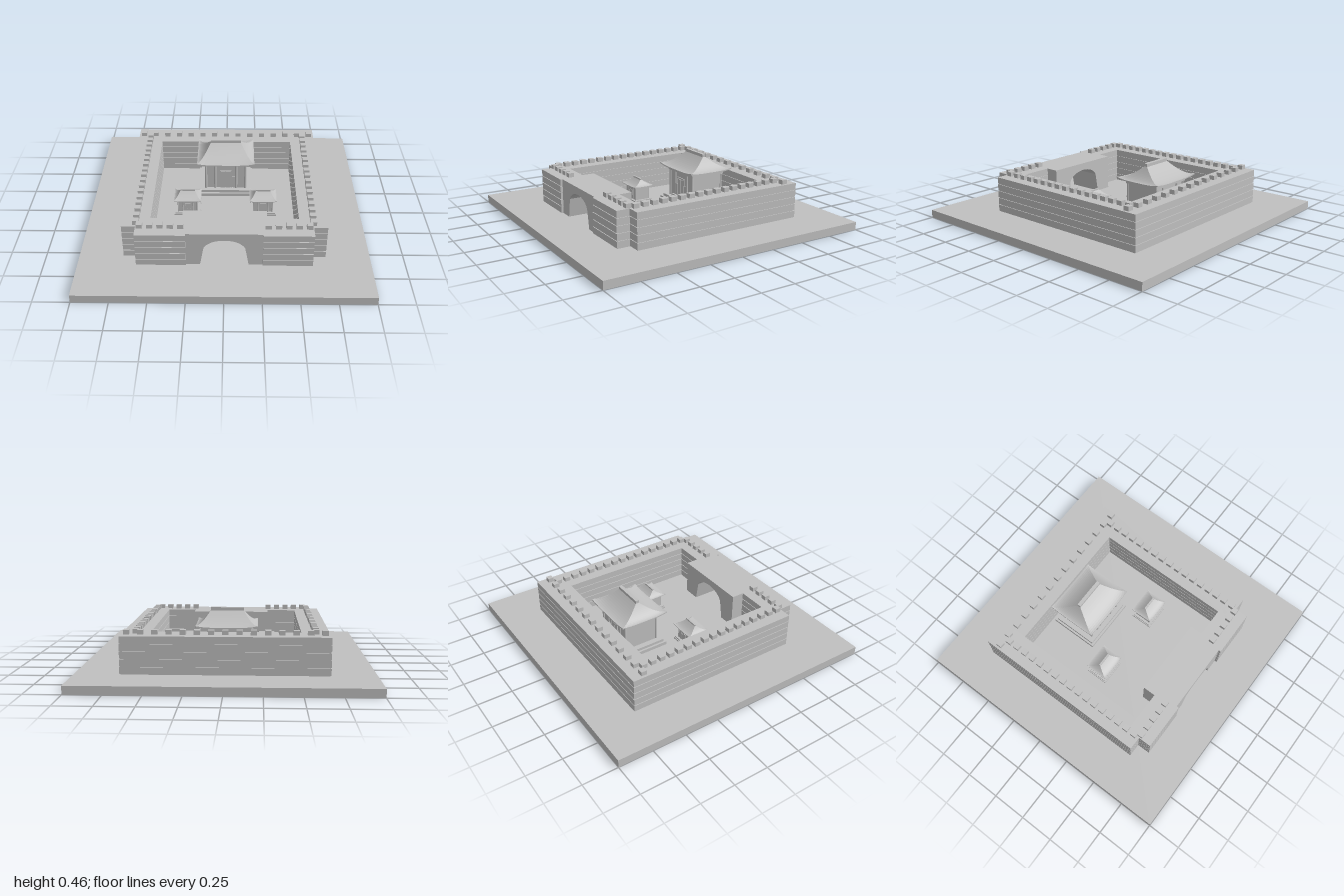
import * as THREE from 'three';

const stone = new THREE.MeshStandardMaterial({ color: 0xc0c0c0 });
stone.name = 'pale stone';

function add(parent, name, geometry, x = 0, y = 0, z = 0) {
  const mesh = new THREE.Mesh(geometry, stone);
  mesh.name = name;
  mesh.position.set(x, y, z);
  parent.add(mesh);
  return mesh;
}

// Box given by its centre in x and z and its bottom in y
function box(parent, name, w, h, d, x, y, z) {
  return add(parent, name, new THREE.BoxGeometry(w, h, d), x, y + h / 2, z);
}

const GROUND = 0.058, WALL_TOP = 0.315, COURSES = 5;

// Wall of stacked stone courses with thin recessed joints
function wall(parent, name, w, d, x, z) {
  const group = new THREE.Group();
  group.name = name;
  const step = (WALL_TOP - GROUND) / COURSES, gap = 0.005, inset = 0.012;
  box(group, 'wallCore', w - inset, WALL_TOP - GROUND - 0.004, d - inset, x, GROUND, z);
  for (let i = 0; i < COURSES; i++) {
    box(group, 'stoneCourse', w, step - gap, d, x, GROUND + i * step + gap, z);
  }
  parent.add(group);
}

// Row of square merlons between two points on the wall top
function merlons(parent, count, x0, z0, x1, z1) {
  for (let i = 0; i < count; i++) {
    const t = i / (count - 1);
    box(parent, 'merlon', 0.041, 0.031, 0.041, x0 + (x1 - x0) * t, WALL_TOP, z0 + (z1 - z0) * t);
  }
}

// Hipped roof with a concave slope and upturned corners, lofted from rectangular rings
function roofGeometry() {
  const SIDE = 10, RINGS = 12, N = SIDE * 4;
  const corners = [[-1, 1], [1, 1], [1, -1], [-1, -1]];
  const positions = [], index = [];
  const ring = (hx, hz, y, lift) => {
    for (let s = 0; s < 4; s++) {
      const a = corners[s], b = corners[(s + 1) % 4];
      for (let i = 0; i < SIDE; i++) {
        const t = i / SIDE;
        const u = a[0] + (b[0] - a[0]) * t, v = a[1] + (b[1] - a[1]) * t;
        positions.push(u * hx, y + lift * Math.abs(2 * t - 1) ** 4, v * hz);
      }
    }
  };
  ring(0.15, 0.12, 0.272, 0); // inner edge of the underside
  ring(0.215, 0.183, 0.272, 0.013); // lower eave edge
  for (let r = 0; r <= RINGS; r++) {
    const t = r / RINGS;
    ring(0.215 - 0.1 * t, 0.183 - 0.171 * t, 0.28 + 0.096 * t ** 1.6, 0.013 * (1 - t) ** 4);
  }
  for (let r = 0; r < RINGS + 2; r++) {
    for (let i = 0; i < N; i++) {
      const j = (i + 1) % N, a = r * N, b = a + N;
      index.push(a + i, a + j, b + j, a + i, b + j, b + i);
    }
  }
  const geometry = new THREE.BufferGeometry();
  geometry.setAttribute('position', new THREE.Float32BufferAttribute(positions, 3));
  geometry.setIndex(index);
  const flat = geometry.toNonIndexed();
  flat.computeVertexNormals();
  return flat;
}

// Timber hall on a low platform; the small pavilions are scaled copies
function hall(name, x, z, scale) {
  const group = new THREE.Group();
  group.name = name;
  box(group, 'lowerPlatform', 0.42, 0.025, 0.36, 0, 0, 0);
  box(group, 'upperPlatform', 0.39, 0.02, 0.33, 0, 0.025, 0);
  box(group, 'body', 0.31, 0.225, 0.25, 0, 0.045, 0);
  box(group, 'lintelBeam', 0.335, 0.018, 0.275, 0, 0.243, 0);
  box(group, 'eaveBracket', 0.365, 0.009, 0.305, 0, 0.262, 0);
  // Columns and wall panels on the front and back
  const column = new THREE.CylinderGeometry(0.009, 0.009, 0.2, 10);
  for (const side of [-1, 1]) {
    for (const cx of [-0.15, -0.08, 0.08, 0.15]) {
      add(group, 'column', column, cx, 0.145, side * 0.127);
    }
    for (const s of [-1, 1]) {
      box(group, 'doorLeaf', 0.036, 0.145, 0.006, s * 0.02, 0.045, side * 0.127);
      box(group, 'doorPost', 0.005, 0.16, 0.009, s * 0.042, 0.045, side * 0.128);
      box(group, 'panel', 0.028, 0.1, 0.006, s * 0.061, 0.05, side * 0.127);
    }
    box(group, 'doorHead', 0.09, 0.008, 0.009, 0, 0.197, side * 0.128);
  }
  add(group, 'roof', roofGeometry());
  box(group, 'ridge', 0.23, 0.024, 0.026, 0, 0.373, 0);
  group.position.set(x, GROUND, z);
  group.scale.set(...scale);
  return group;
}

// Gate block pierced by a rounded passage open at the ground
function gateGeometry() {
  const h = WALL_TOP - GROUND;
  const shape = new THREE.Shape();
  shape.moveTo(-0.29, 0);
  shape.lineTo(-0.165, 0);
  shape.lineTo(-0.14, 0.14);
  shape.bezierCurveTo(-0.115, 0.185, -0.06, 0.203, 0, 0.204);
  shape.bezierCurveTo(0.06, 0.203, 0.115, 0.185, 0.14, 0.14);
  shape.lineTo(0.165, 0);
  shape.lineTo(0.29, 0);
  shape.lineTo(0.29, h);
  shape.lineTo(-0.29, h);
  shape.closePath();
  return new THREE.ExtrudeGeometry(shape, { depth: 0.265, bevelEnabled: false, curveSegments: 10 });
}

export function createModel() {
  const model = new THREE.Group();
  model.name = 'walledFortress';
  box(model, 'groundSlab', 2, GROUND, 2, 0, 0, 0);

  // Enclosing walls, with the front split by the gate
  wall(model, 'backWall', 1.39, 0.19, 0, -0.6);
  for (const s of [-1, 1]) {
    wall(model, s > 0 ? 'leftWall' : 'rightWall', 0.19, 1.2, s * 0.6, 0);
    wall(model, s > 0 ? 'frontLeftWall' : 'frontRightWall', 0.34, 0.19, s * 0.43, 0.6);
  }
  add(model, 'gate', gateGeometry(), 0, GROUND, 0.413);

  // Battlements along every wall except over the gate
  const battlements = new THREE.Group();
  battlements.name = 'battlements';
  model.add(battlements);
  merlons(battlements, 15, -0.657, -0.605, 0.657, -0.605);
  for (const s of [-1, 1]) {
    merlons(battlements, 17, s * 0.6, -0.565, s * 0.6, 0.56);
    merlons(battlements, 5, s * 0.295, 0.6, s * 0.572, 0.6);
  }

  // Courtyard buildings
  model.add(hall('mainHall', 0, -0.303, [1, 1, 1]));
  for (const s of [-1, 1]) {
    model.add(hall(s > 0 ? 'leftPavilion' : 'rightPavilion', s * 0.278, 0.045, [0.465, 0.45, 0.45]));
  }
  return model;
}
